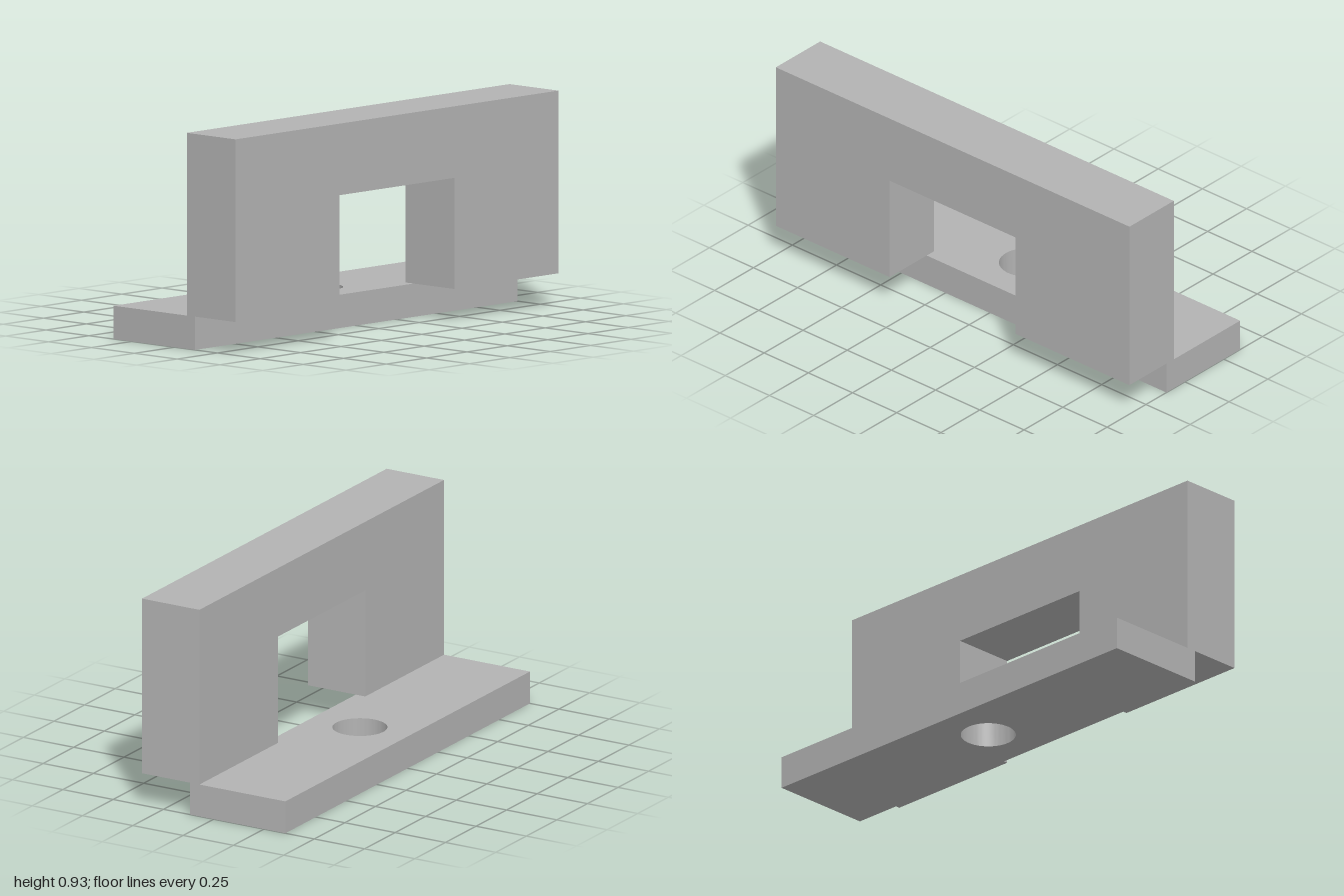
import * as THREE from 'three';
import { toCreasedNormals } from 'three/addons/utils/BufferGeometryUtils.js';

const HALF_LENGTH = 1;
const BASE_HEIGHT = 0.143;
const TOP = 0.927;

function polygon(points) {
  return new THREE.Shape(points.map(([x, y]) => new THREE.Vector2(x, y)));
}

function extrude(shape, depth) {
  return new THREE.ExtrudeGeometry(shape, { depth, bevelEnabled: false, curveSegments: 48 });
}

export function createModel() {
  const model = new THREE.Group();
  model.name = 'slottedBracket';
  const grey = new THREE.MeshStandardMaterial({ color: 0xb2b2b2 });
  grey.name = 'grey';

  const add = (name, geometry) => {
    const mesh = new THREE.Mesh(toCreasedNormals(geometry, 0.6), grey);
    mesh.name = name;
    model.add(mesh);
  };

  // Flat base plate with a round bolt hole, drawn in plan
  const left = -0.356, right = 0.118;
  const plan = polygon([
    [left, -HALF_LENGTH], [right, -HALF_LENGTH], [right, HALF_LENGTH], [left, HALF_LENGTH],
  ]);
  plan.holes.push(new THREE.Path().absarc(-0.119, 0, 0.117, 0, Math.PI * 2, true));
  add('basePlate', extrude(plan, BASE_HEIGHT).rotateX(Math.PI / 2).translate(0, BASE_HEIGHT, 0));

  // Upright wall, overhanging the base, with a rectangular opening at its foot
  const wallInner = 0.071, wallOuter = 0.356;
  const gap = 0.356, gapTop = 0.62;
  const elevation = polygon([
    [-HALF_LENGTH, BASE_HEIGHT], [-gap, BASE_HEIGHT], [-gap, gapTop], [gap, gapTop],
    [gap, BASE_HEIGHT], [HALF_LENGTH, BASE_HEIGHT], [HALF_LENGTH, TOP], [-HALF_LENGTH, TOP],
  ]);
  add('uprightWall', extrude(elevation, wallOuter - wallInner).rotateY(Math.PI / 2).translate(wallInner, 0, 0));

  return model;
}
